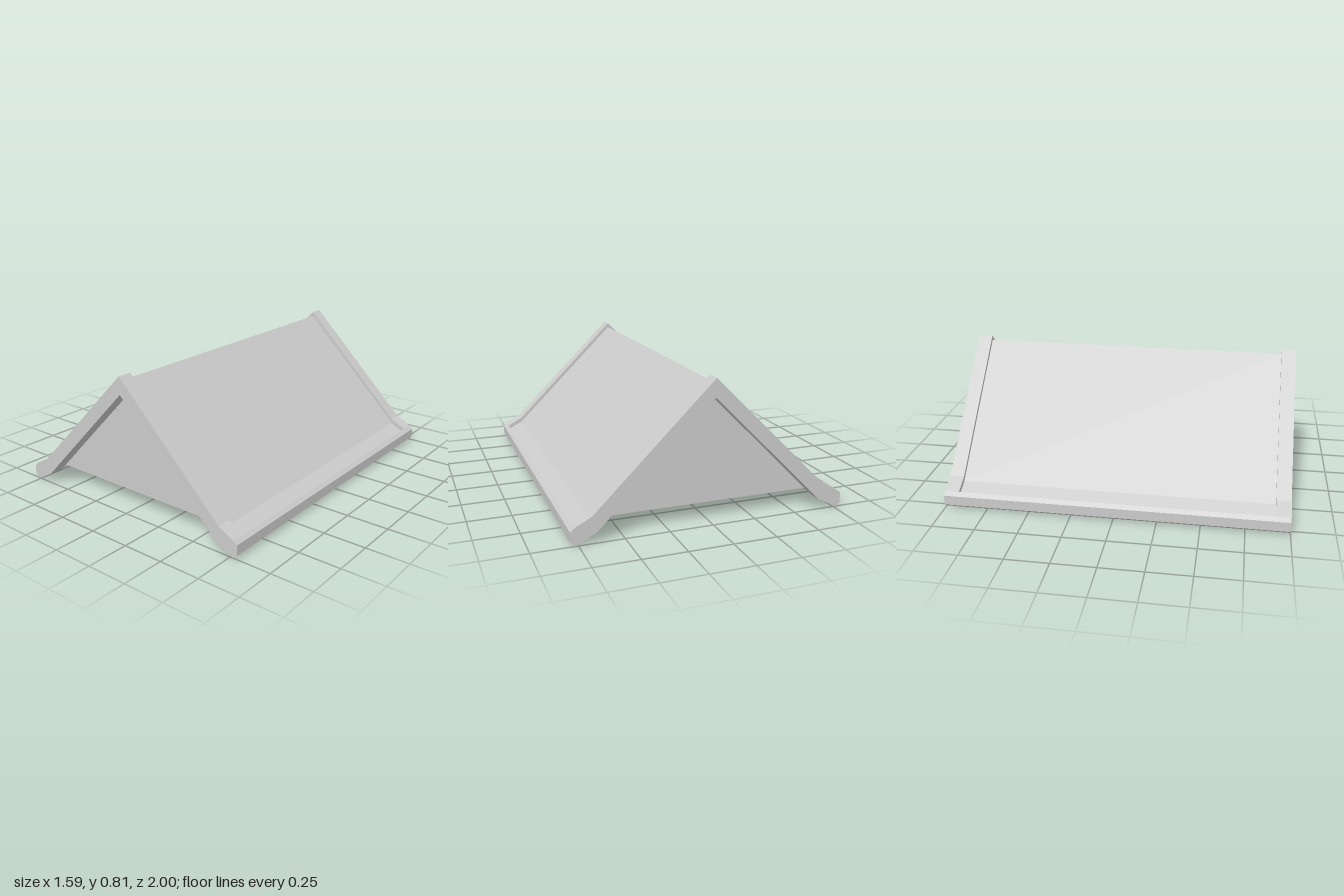
import * as THREE from 'three';

const material = new THREE.MeshStandardMaterial({ color: 0xcccccc, flatShading: true, side: THREE.DoubleSide });
const END = 0.915; // where the thick gable trim starts
const HALF = 1;

// Mirrored chevron: ridge top, right-hand outline from top to underside, ridge underside
function chevron(top, right, under) {
  const left = right.map(([x, y]) => [-x, y]).reverse();
  const points = [[0, top], ...right, [0, under], ...left];
  return new THREE.Shape(points.map(([x, y]) => new THREE.Vector2(x, y)));
}

function addExtrusion(group, name, shape, z0, z1) {
  const geometry = new THREE.ExtrudeGeometry(shape, { depth: z1 - z0, bevelEnabled: false });
  const mesh = new THREE.Mesh(geometry, material);
  mesh.position.z = z0;
  mesh.name = name;
  group.add(mesh);
}

export function createModel() {
  const model = new THREE.Group();
  model.name = 'gableRoof';

  // Outer edge of the eave, shared by slopes and trim
  const eave = [[0.77, 0.1], [0.793, 0.08], [0.793, 0.022], [0.766, 0]];

  // Thin slopes, sunken above and below, ending in an upright eave rim
  const slopes = chevron(0.787, [[0.675, 0.122], [0.77, 0.073], ...eave, [0.766, 0.055], [0.67, 0.104]], 0.77);
  addExtrusion(model, 'roofSlopes', slopes, -END, END);

  // Thick trim at both ends
  const trim = chevron(0.815, [[0.675, 0.15], ...eave, [0.65, 0.06]], 0.71);
  addExtrusion(model, 'frontTrim', trim, END, HALF);
  addExtrusion(model, 'backTrim', trim, -HALF, -END);

  // Thin triangular walls just behind the trim; the underside stays open
  const triangle = new THREE.Shape([
    new THREE.Vector2(-0.655, 0.1), new THREE.Vector2(0.655, 0.1), new THREE.Vector2(0, 0.755),
  ]);
  for (const side of [1, -1]) {
    const wall = new THREE.Mesh(new THREE.ShapeGeometry(triangle), material);
    wall.name = side > 0 ? 'frontGableWall' : 'backGableWall';
    wall.position.z = side * (END - 0.005);
    if (side < 0) wall.rotation.y = Math.PI;
    model.add(wall);
  }
  return model;
}
